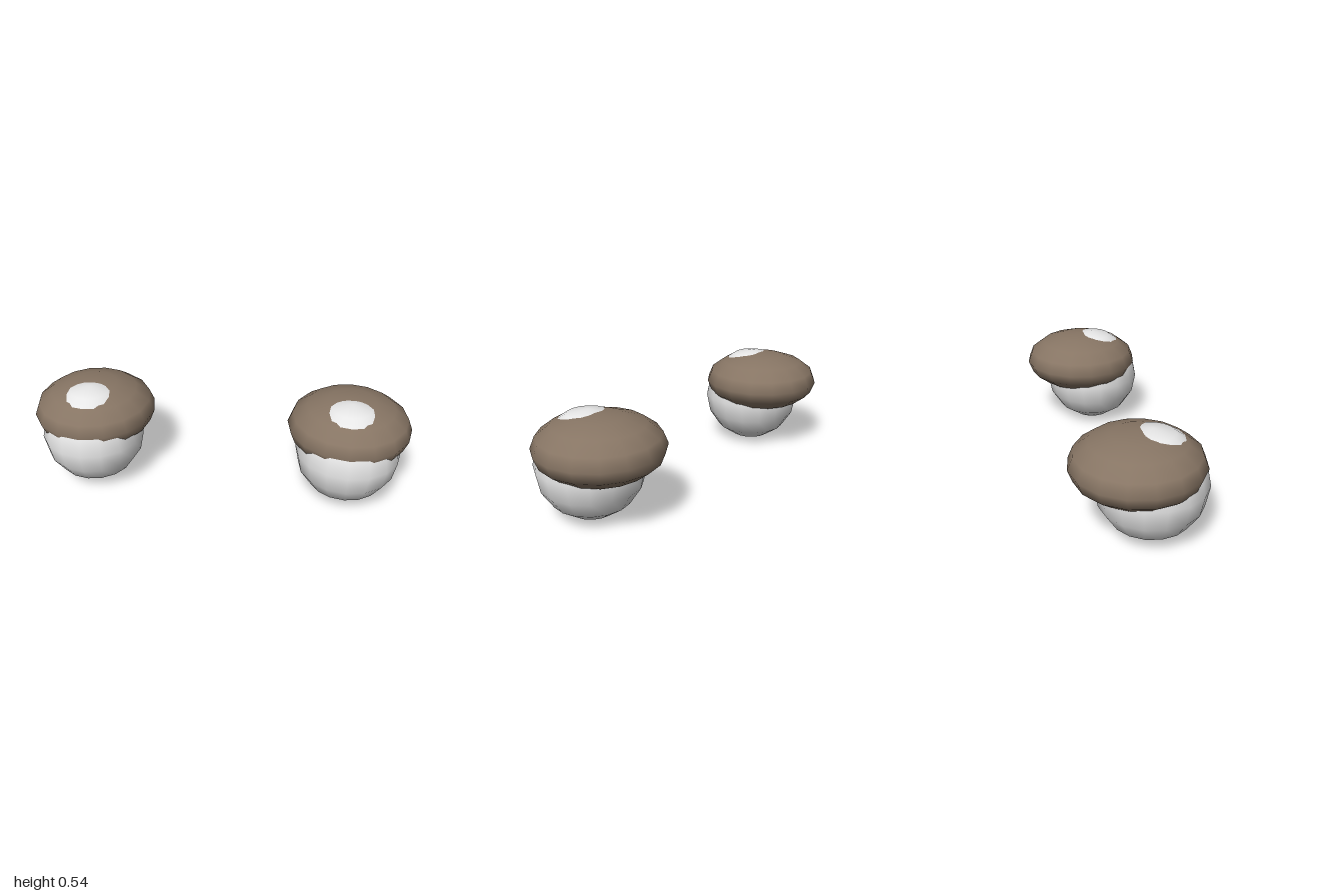
import * as THREE from 'three';

export function createModel() {
  const model = new THREE.Group();
  model.name = 'eyes';

  const white = new THREE.MeshStandardMaterial({ color: 0xeeeeee });
  white.name = 'eye white';
  const brown = new THREE.MeshStandardMaterial({ color: 0x877564 });
  brown.name = 'lid brown';

  const sphere = new THREE.SphereGeometry(1, 16, 8);

  // scaled ball placed inside its eye group
  function addBall(parent, name, material, position, scale) {
    const mesh = new THREE.Mesh(sphere, material);
    mesh.name = name;
    mesh.position.set(...position);
    mesh.scale.set(...scale);
    parent.add(mesh);
  }

  for (const side of [1, -1]) {
    const eye = new THREE.Group();
    eye.name = side > 0 ? 'leftEye' : 'rightEye';
    eye.position.x = side * 0.679;

    // round eyeball
    addBall(eye, 'eyeball', white, [0, 0.2715, 0.0595], [0.2715, 0.2715, 0.2715]);
    // flattened lid sitting over the top and back
    addBall(eye, 'eyelid', brown, [0, 0.374, -0.008], [0.321, 0.161, 0.322]);

    model.add(eye);
  }
  return model;
}
